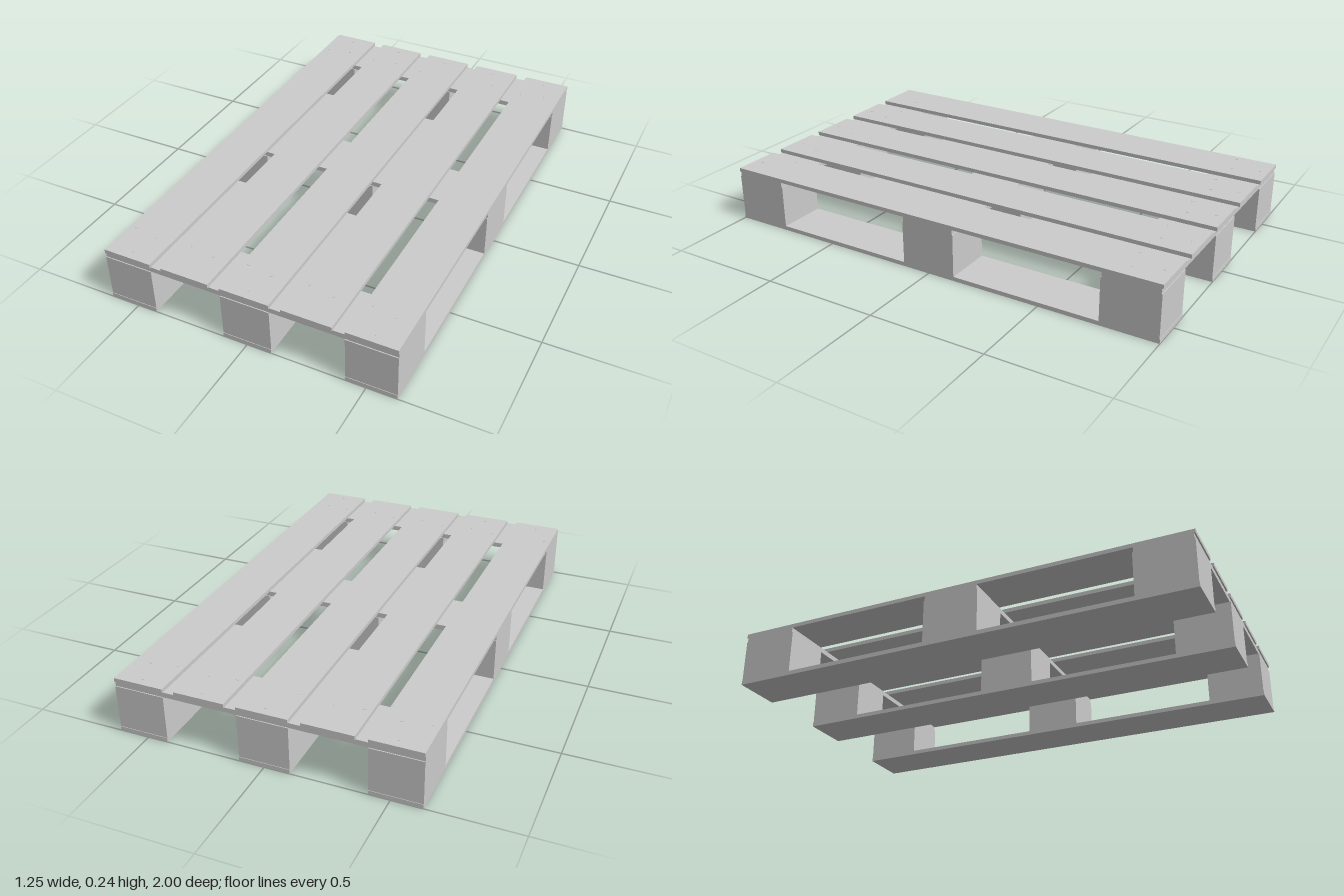
import * as THREE from 'three';

export function createModel() {
  const pallet = new THREE.Group();
  pallet.name = 'pallet';
  const wood = new THREE.MeshStandardMaterial({ color: 0xcccccc, flatShading: true });

  // Box from centre x, centre z, width, depth and its lower and upper heights
  const plank = (name, x, z, w, d, y0, y1) => {
    const mesh = new THREE.Mesh(new THREE.BoxGeometry(w, y1 - y0, d), wood);
    mesh.position.set(x, (y0 + y1) / 2, z);
    mesh.name = name;
    pallet.add(mesh);
  };

  const boardW = 0.21, blockD = 0.24;
  const bottomTop = 0.018, blockTop = 0.202, crossTop = 0.223, deckTop = 0.24;
  const rows = [-0.878, 0, 0.878];

  // Skids with their spacer blocks
  for (const x of [-0.52, 0, 0.52]) {
    plank('bottomBoard', x, 0, boardW, 2, 0, bottomTop);
    for (const z of rows) plank('spacerBlock', x, z, boardW, blockD, bottomTop, blockTop);
  }

  // Boards running across the blocks
  for (const z of rows) plank('crossBoard', 0, z, 1.25, blockD - 0.008, blockTop, crossTop);

  // Deck boards, with three nail heads at each end
  const nailGeometry = new THREE.CylinderGeometry(0.007, 0.007, 0.002, 8);
  const nailSpots = [[-0.075, 0.83], [0.035, 0.85], [0, 0.96]];
  for (let i = -2; i <= 2; i++) {
    const x = i * 0.26;
    plank('deckBoard', x, 0, boardW, 2, crossTop, deckTop);
    for (const end of [-1, 1]) {
      for (const [nx, nz] of nailSpots) {
        const nail = new THREE.Mesh(nailGeometry, wood);
        nail.position.set(x + nx, deckTop, end * nz);
        nail.name = 'nailHead';
        pallet.add(nail);
      }
    }
  }
  return pallet;
}
